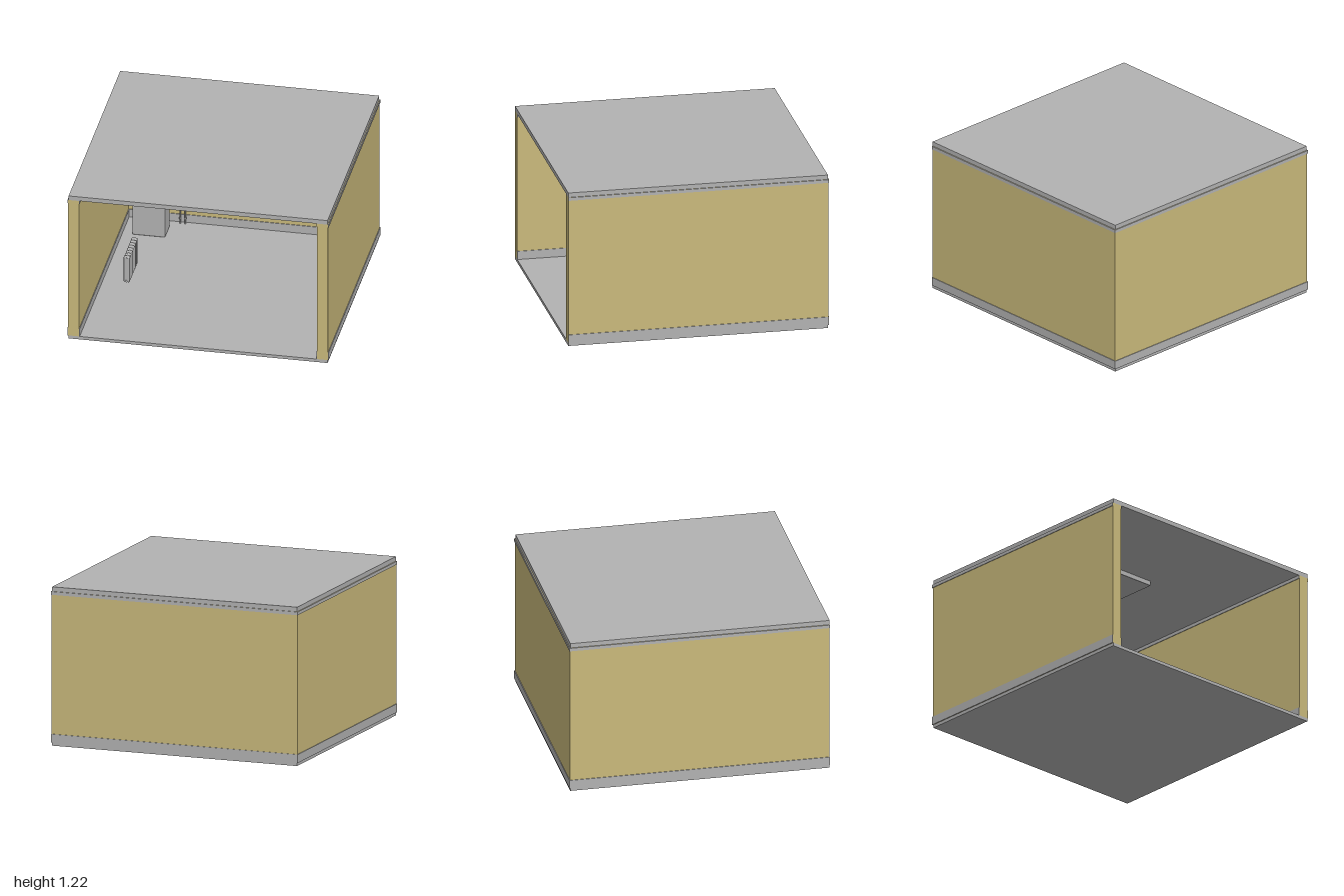
import * as THREE from 'three';
import { RoundedBoxGeometry } from 'three/addons/geometries/RoundedBoxGeometry.js';

export function createModel() {
  const model = new THREE.Group();
  const grey = new THREE.MeshStandardMaterial({ color: 0xb2b2b2 });
  grey.name = 'light grey';
  const tan = new THREE.MeshStandardMaterial({ color: 0xc9b97b });
  tan.name = 'wall tan';

  function add(name, geometry, material, x, y, z, parent = model) {
    const mesh = new THREE.Mesh(geometry, material);
    mesh.name = name;
    mesh.position.set(x, y, z);
    parent.add(mesh);
    return mesh;
  }
  // box given by its minimum and maximum corners
  function box(name, material, a, b, parent = model, round = 0) {
    const s = a.map((v, i) => b[i] - v);
    const geometry = round ? new RoundedBoxGeometry(...s, 2, round) : new THREE.BoxGeometry(...s);
    return add(name, geometry, material, ...a.map((v, i) => (v + b[i]) / 2), parent);
  }

  // floor and roof slabs
  const floorTop = 0.025, roofBottom = 1.185, outer = 0.995, inner = 0.912;
  box('floor', grey, [-0.992, 0, -0.992], [0.992, floorTop, 1]);
  box('roof', grey, [-0.992, roofBottom, -0.992], [0.992, 1.22, 1]);

  // three walls; the front stays open
  for (const [side, name] of [[-1, 'rightWall'], [1, 'leftWall']]) {
    const x = [side * inner, side * outer].sort((p, q) => p - q);
    box(name, tan, [x[0], floorTop, -outer], [x[1], roofBottom, 1]);
  }
  box('backWall', tan, [-inner, floorTop, -outer], [inner, roofBottom, -inner]);

  // thin skirting and top trim, inside and outside each wall
  const t = 0.005;
  for (const [name, y0, y1] of [['skirting', floorTop, 0.09], ['topTrim', 1.16, roofBottom]]) {
    const trim = new THREE.Group();
    trim.name = name;
    model.add(trim);
    for (const side of [-1, 1]) {
      for (const x of [side * (outer + t / 2), side * (inner - t / 2)]) {
        const back = Math.abs(x) > inner ? -1 : -inner;
        box(name + 'Side', grey, [x - t / 2, y0, back], [x + t / 2, y1, 1], trim);
      }
    }
    box(name + 'BackOutside', grey, [-outer, y0, -1], [outer, y1, -outer], trim);
    box(name + 'BackInside', grey, [-inner, y0, -inner], [inner, y1, -inner + t], trim);
  }

  // floor-standing cabinets and ceiling unit
  box('tallCabinet', grey, [-0.83, floorTop, -0.81], [-0.578, 0.6, -0.64], model, 0.008);
  box('shortCabinet', grey, [0.61, floorTop, -0.83], [0.83, 0.56, -0.61], model, 0.008);
  box('ceilingUnit', grey, [-0.165, 1.147, -0.165], [0.162, roofBottom, 0.165], model, 0.004);

  // radiator: a row of columns joined by two header tubes
  const radiator = new THREE.Group();
  radiator.name = 'radiator';
  model.add(radiator);
  const count = 8, z0 = -0.155, pitch = 0.325 / count;
  for (let i = 0; i < count; i++) {
    const z = z0 + i * pitch;
    box('radiatorColumn', grey, [-0.737, 0.06, z + 0.003], [-0.69, 0.277, z + pitch - 0.003], radiator, 0.009);
  }
  for (const y of [0.073, 0.264]) {
    const tube = new THREE.CylinderGeometry(0.009, 0.009, 0.327, 16).rotateX(Math.PI / 2);
    add('radiatorHeader', tube, grey, -0.7135, y, z0 + 0.1625, radiator);
  }

  // pair of riser pipes with clamps on the back wall
  const pipes = new THREE.Group();
  pipes.name = 'riserPipes';
  model.add(pipes);
  for (const x of [-0.512, -0.472]) {
    add('pipe', new THREE.CylinderGeometry(0.0055, 0.0055, 0.585, 12), grey, x, 0.3175, -0.885, pipes);
    for (const y of [0.07, 0.32, 0.57]) {
      add('clamp', new THREE.CylinderGeometry(0.0075, 0.0075, 0.012, 12), grey, x, y, -0.885, pipes);
      box('clampStem', grey, [x - 0.003, y - 0.003, -inner], [x + 0.003, y + 0.003, -0.885], pipes);
    }
  }
  return model;
}
